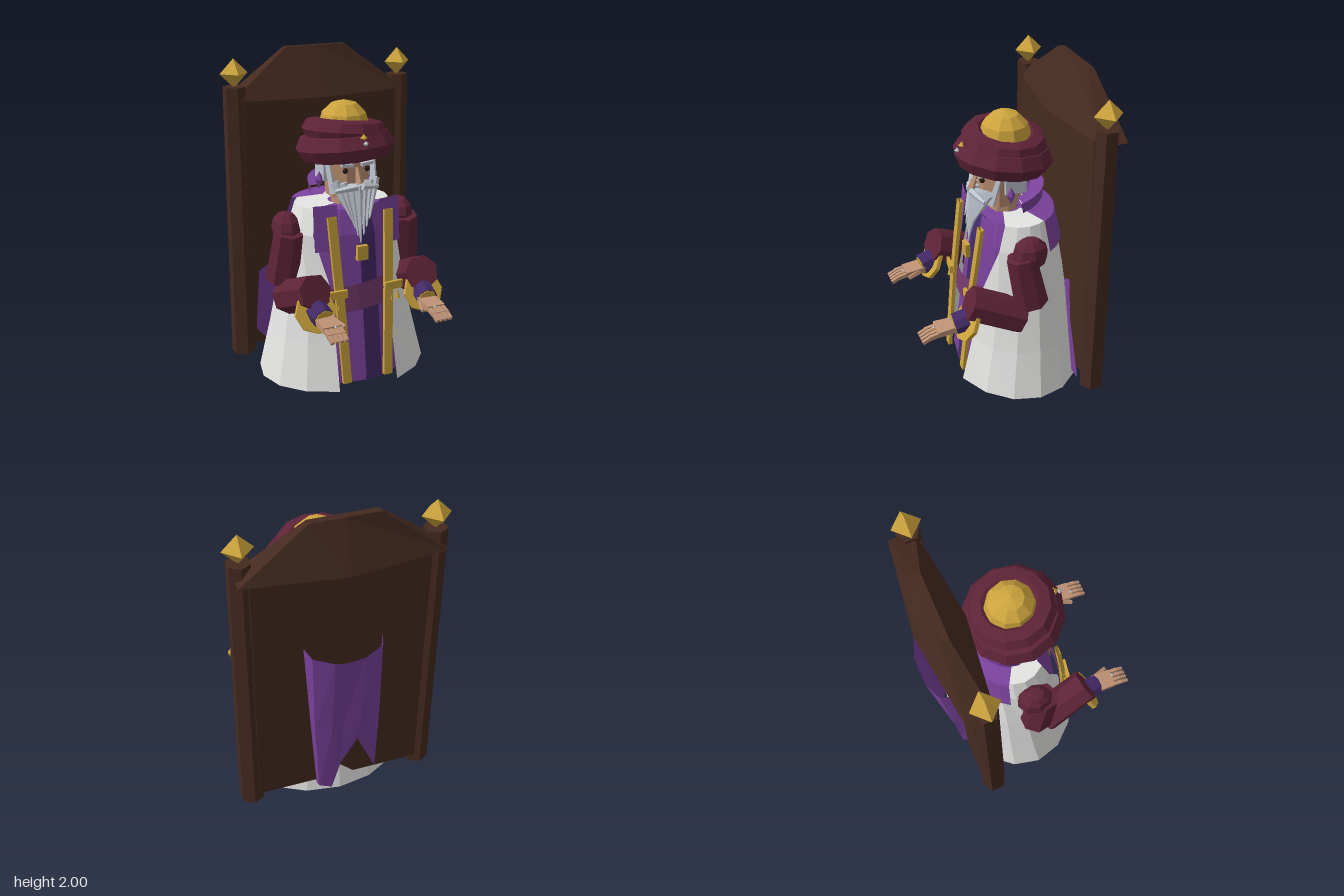
import * as THREE from 'three';

const mat = (name, color) => new THREE.MeshStandardMaterial({ name, color, flatShading: true, side: THREE.DoubleSide });
const V = (x, y, z) => new THREE.Vector3(x, y, z);

// Point on an elliptical ring; angle 0 faces the front
function ringRow([y, rx, zf, zb], a0, a1, n) {
  return Array.from({ length: n + 1 }, (_, i) => {
    const a = a0 + (a1 - a0) * i / n;
    return V(rx * Math.sin(a), y, (zf + zb) / 2 + (zf - zb) / 2 * Math.cos(a));
  });
}

// Surface through rows of points
function sheet(rows) {
  const w = rows[0].length, index = [];
  for (let r = 0; r < rows.length - 1; r++) for (let c = 0; c < w - 1; c++) {
    const a = r * w + c, b = a + w;
    index.push(a, a + 1, b, a + 1, b + 1, b);
  }
  const g = new THREE.BufferGeometry().setFromPoints(rows.flat());
  g.setIndex(index);
  g.computeVertexNormals();
  return g;
}

export function createModel() {
  const root = new THREE.Group();
  root.name = 'seatedSage';
  const wood = mat('dark wood', 0x452a1f), gold = mat('gold', 0xcda43d), white = mat('white cloth', 0xe4e4e3);
  const purple = mat('purple cloth', 0x7a429c), dark = mat('deep purple', 0x432a68), maroon = mat('maroon cloth', 0x5e2437);
  const plum = mat('plum belt', 0x773a70), skin = mat('skin', 0xbf9275), grey = mat('grey hair', 0xc0c6d0), eyeM = mat('eye', 0x2a1712);

  const add = (name, geo, m, x = 0, y = 0, z = 0, rx = 0, ry = 0, rz = 0) => {
    const o = new THREE.Mesh(geo, m);
    o.name = name;
    o.position.set(x, y, z);
    o.rotation.set(rx, ry, rz);
    root.add(o);
    return o;
  };
  const box = (w, h, d) => new THREE.BoxGeometry(w, h, d);
  // Tapered bar from a to b
  const beam = (name, m, a, b, ra, rb, n = 6) => {
    const d = b.clone().sub(a), mid = a.clone().add(b).multiplyScalar(0.5);
    const o = add(name, new THREE.CylinderGeometry(rb, ra, d.length(), n), m, mid.x, mid.y, mid.z);
    o.quaternion.setFromUnitVectors(V(0, 1, 0), d.normalize());
  };

  // High chair back
  add('chairBack', box(1.04, 1.62, 0.12), wood, 0, 0.9, -0.42);
  const eave = [[-0.59, -0.37], [0, -0.3], [0.59, -0.37], [0.59, -0.53], [0, -0.605], [-0.59, -0.53], [-0.59, -0.37]];
  const peak = [[-0.2, -0.455], [0, -0.455], [0.2, -0.455], [0.2, -0.497], [0, -0.497], [-0.2, -0.497], [-0.2, -0.455]];
  const level = (pts, y) => pts.map(([x, z]) => V(x, y, z));
  add('chairCrest', sheet([level(eave.map(() => [0, -0.45]), 1.7), level(eave, 1.7), level(peak, 2), level(peak.map(() => [0, -0.476]), 2)]), wood);

  // Cloak hanging behind the chair, with a notched hem
  const cloakRow = (xs, ys, zs) => xs.map((x, i) => V(x, ys[i], zs[i]));
  add('cloakBack', sheet([
    cloakRow([0.23, 0.21, 0.09, 0.02, -0.09, -0.21, -0.25], [1.18, 1.18, 1.15, 1.14, 1.15, 1.18, 1.18], [-0.47, -0.585, -0.63, -0.632, -0.63, -0.585, -0.47]),
    cloakRow([0.19, 0.18, 0.08, 0.01, -0.1, -0.23, -0.25], [0.6, 0.6, 0.6, 0.58, 0.58, 0.6, 0.6], [-0.47, -0.54, -0.57, -0.55, -0.57, -0.54, -0.47]),
    cloakRow([0.15, 0.14, 0.06, 0.0, -0.1, -0.23, -0.25], [0.06, 0.06, 0.03, 0.22, 0.42, 0.12, 0.12], [-0.47, -0.51, -0.52, -0.51, -0.53, -0.51, -0.47]),
  ]), purple);

  // Robe: rings of [y, half width, front z, back z], opened at the front
  const rings = [[0, 0.55, 0.352, -0.51], [0.3, 0.475, 0.285, -0.46], [0.6, 0.41, 0.24, -0.42], [0.95, 0.35, 0.2, -0.35], [1.105, 0.3, 0.15, -0.31], [1.11, 0.1, 0.04, -0.14]];
  const gaps = [0.37, 0.42, 0.48, 0.88, 0.95, 0.95];
  add('robe', sheet(rings.map((r, i) => ringRow(r, gaps[i], 2 * Math.PI - gaps[i], 14))), white);
  const inner = [[0.02, 0.46, 0.285, -0.46], [0.6, 0.36, 0.215, -0.38], [0.95, 0.31, 0.175, -0.3], [1.1, 0.25, 0.125, -0.24], [1.105, 0.08, 0.04, -0.12]];
  add('innerGown', sheet(inner.map(r => ringRow(r, 0, 2 * Math.PI, 16))), purple);
  add('gownBase', sheet([[0.02, 0.001, -0.08, -0.081], inner[0]].map(r => ringRow(r, 0, 2 * Math.PI, 16))), dark);
  // Darker fold down one side of the gown front
  add('gownFold', sheet(inner.slice(0, 4).map(([y, rx, zf, zb], i) =>
    ringRow([y, rx, zf + 0.006, zb], 0, [0.25, 0.31, 0.36, 0.4][i], 2))), dark);
  add('shoulderCape', sheet([[0.94, 0.38, 0.2, -0.375], [1.118, 0.315, 0.16, -0.335], [1.15, 0.13, 0.1, -0.16]]
    .map(r => ringRow(r, 1.95, 2 * Math.PI - 1.95, 10))), purple);
  add('belt', sheet([[0.49, 0.42, 0.252, -0.4], [0.655, 0.4, 0.238, -0.4]].map(r => ringRow(r, -0.7, 0.7, 6))), plum, 0, 0, 0, 0, 0, 0.06);
  add('pendant', box(0.07, 0.09, 0.03), gold, 0, 0.845, 0.215);
  add('collar', new THREE.CylinderGeometry(0.215, 0.2, 0.075, 10, 1, true, Math.PI / 2, Math.PI), purple, 0, 1.18, -0.07, 0.25);
  add('collarTop', new THREE.RingGeometry(0.13, 0.215, 10, 1, 0, Math.PI), purple, 0, 1.218, -0.07, -Math.PI / 2 + 0.25);

  // Head, nose and beard
  add('head', new THREE.CylinderGeometry(0.155, 0.125, 0.3, 8), skin, 0, 1.31, -0.01, 0, Math.PI / 8);
  add('neck', new THREE.CylinderGeometry(0.09, 0.09, 0.16, 8), skin, 0, 1.13, -0.03);
  add('backHair', new THREE.CylinderGeometry(0.162, 0.155, 0.16, 6, 1, true, Math.PI * 0.6, Math.PI * 0.8), grey, 0, 1.34, -0.01);
  beam('nose', skin, V(0, 1.265, 0.175), V(0, 1.36, 0.14), 0.025, 0.01, 4);
  for (let i = -3; i <= 3; i++) {
    const k = Math.abs(i);
    beam('beardStrand', grey, V(i * 0.019, 0.9 + k * 0.05, 0.2), V(i * 0.044, 1.25 + k * 0.008, 0.15 - k * 0.014), 0.004, 0.034, 5);
  }

  // Turban of two tilted rolls around a gold cap
  const roll = (name, R, t, y, z, tilt, lean, squash) => {
    const g = new THREE.TorusGeometry(R, t, 7, 12).rotateX(Math.PI / 2).scale(1, squash, 1);
    add(name, g, maroon, 0, y, z, tilt, 0, lean);
  };
  roll('turbanLowerRoll', 0.203, 0.1, 1.458, -0.027, -0.13, 0.04, 0.92);
  roll('turbanUpperRoll', 0.185, 0.075, 1.55, -0.035, -0.1, -0.1, 0.95);
  add('turbanCore', new THREE.CylinderGeometry(0.18, 0.19, 0.13, 12), maroon, 0, 1.49, -0.03, -0.1);
  add('goldCap', new THREE.SphereGeometry(0.156, 10, 6), gold, 0, 1.577, -0.04);
  add('jewelSetting', new THREE.OctahedronGeometry(0.024), gold, 0, 1.555, 0.228);
  add('jewel', new THREE.OctahedronGeometry(0.018), grey, 0, 1.527, 0.258);

  // Everything that is mirrored left and right
  for (const s of [-1, 1]) {
    const P = (x, y, z) => V(s * x, y, z);
    add('chairPost', new THREE.CylinderGeometry(0.07, 0.08, 1.76, 6), wood, s * 0.557, 0.91, -0.415);
    add('postFinial', new THREE.OctahedronGeometry(0.089), gold, s * 0.555, 1.87, -0.415);
    // The cloak spreads wider on the right
    const spread = s < 0 ? [0.46, 0.6, 0.49, 0.2] : [0.36, 0.4, 0.5, 0.04];
    add('cloakSide', sheet([[P(0.25, 0.65, -0.345), P(0.32, 0.68, -0.345)], [P(0.3, 0.45, -0.345), P(spread[0], spread[1], -0.345)],
      [P(0.35, 0.03, -0.345), P(spread[2], spread[3], -0.345)]]), purple);

    // Gold edging, lapel and belt clasp
    const edge = [[1.085, 0.187, 0.185], [0.6, 0.165, 0.247], [0.04, 0.14, 0.302]];
    const strip = edge.map(([y, x, z]) => [[-1, -1], [1, -1], [1, 1], [-1, 1], [-1, -1]].map(([i, j]) => P(x + i * 0.028, y, z + j * 0.012)));
    add('robeEdging', sheet(strip), gold);
    add('lapel', sheet([[P(0.14, 1.15, 0.16), P(0.285, 1.15, 0.135)], [P(0.14, 0.87, 0.2), P(0.285, 0.87, 0.16)]]), purple);
    add('beltClasp', box(0.13, 0.05, 0.02), gold, s * 0.19, 0.62, 0.265, 0, s * 0.15, -s * 0.05);
    for (const x of [0.18, 0.225]) add('tassel', new THREE.ConeGeometry(0.018, 0.06, 5), gold, s * x, 0.555, 0.255);

    // Face details
    add('eye', new THREE.SphereGeometry(0.018, 6, 4), eyeM, s * 0.072, 1.342, 0.132);
    add('eyebrow', box(0.075, 0.02, 0.025), grey, s * 0.065, 1.377, 0.142, 0, 0, s * 0.12);
    add('sideHair', box(0.025, 0.15, 0.13), grey, s * 0.148, 1.335, -0.05);
    beam('sideburn', grey, P(0.135, 1.2, 0.1), P(0.15, 1.38, 0.05), 0.024, 0.018, 4);
    beam('moustache', grey, P(0.015, 1.25, 0.18), P(0.14, 1.225, 0.14), 0.024, 0.014, 5);
    add('earring', new THREE.OctahedronGeometry(0.055).scale(0.5, 1, 0.5), purple, s * 0.178, 1.265, -0.01);

    // Sleeve and cuff
    add('shoulder', new THREE.SphereGeometry(0.113, 8, 6).scale(0.78, 0.95, 1), maroon, s * 0.385, 0.975, -0.05);
    beam('upperSleeve', maroon, P(0.415, 0.65, -0.05), P(0.39, 0.97, 0.01), 0.105, 0.09, 7);
    beam('foreSleeve', maroon, P(0.405, 0.555, 0.01), P(0.355, 0.695, 0.325), 0.11, 0.108, 7);
    const tilt = Math.PI / 2 - 0.46;
    add('goldCuff', new THREE.CylinderGeometry(0.13, 0.13, 0.026, 8), gold, s * 0.36, 0.575, 0.335, tilt);
    add('cuffLining', new THREE.CylinderGeometry(0.09, 0.09, 0.02, 8), dark, s * 0.36, 0.57, 0.328, tilt);
    beam('innerCuff', dark, P(0.355, 0.585, 0.33), P(0.345, 0.562, 0.415), 0.07, 0.066, 8);
    beam('bracelet', gold, P(0.345, 0.562, 0.4), P(0.343, 0.558, 0.422), 0.06, 0.06, 8);

    // Hand with four fingers, thumb and ring
    add('palm', box(0.115, 0.035, 0.13), skin, s * 0.34, 0.55, 0.465, 0.12);
    for (let i = 0; i < 4; i++) {
      const x = s * (0.296 + i * 0.0295);
      add('finger', box(0.022, 0.026, 0.07), skin, x, 0.535, 0.55, 0.2);
      add('fingertip', box(0.02, 0.022, 0.055), skin, x, 0.517, 0.602, 0.45);
    }
    beam('thumb', skin, P(0.29, 0.55, 0.44), P(0.258, 0.535, 0.52), 0.02, 0.013, 4);
    add('fingerRing', new THREE.TorusGeometry(0.015, 0.005, 4, 6), gold, s * 0.326, 0.537, 0.54);
    add('ringStone', new THREE.OctahedronGeometry(0.012), grey, s * 0.326, 0.558, 0.54);
  }
  return root;
}
